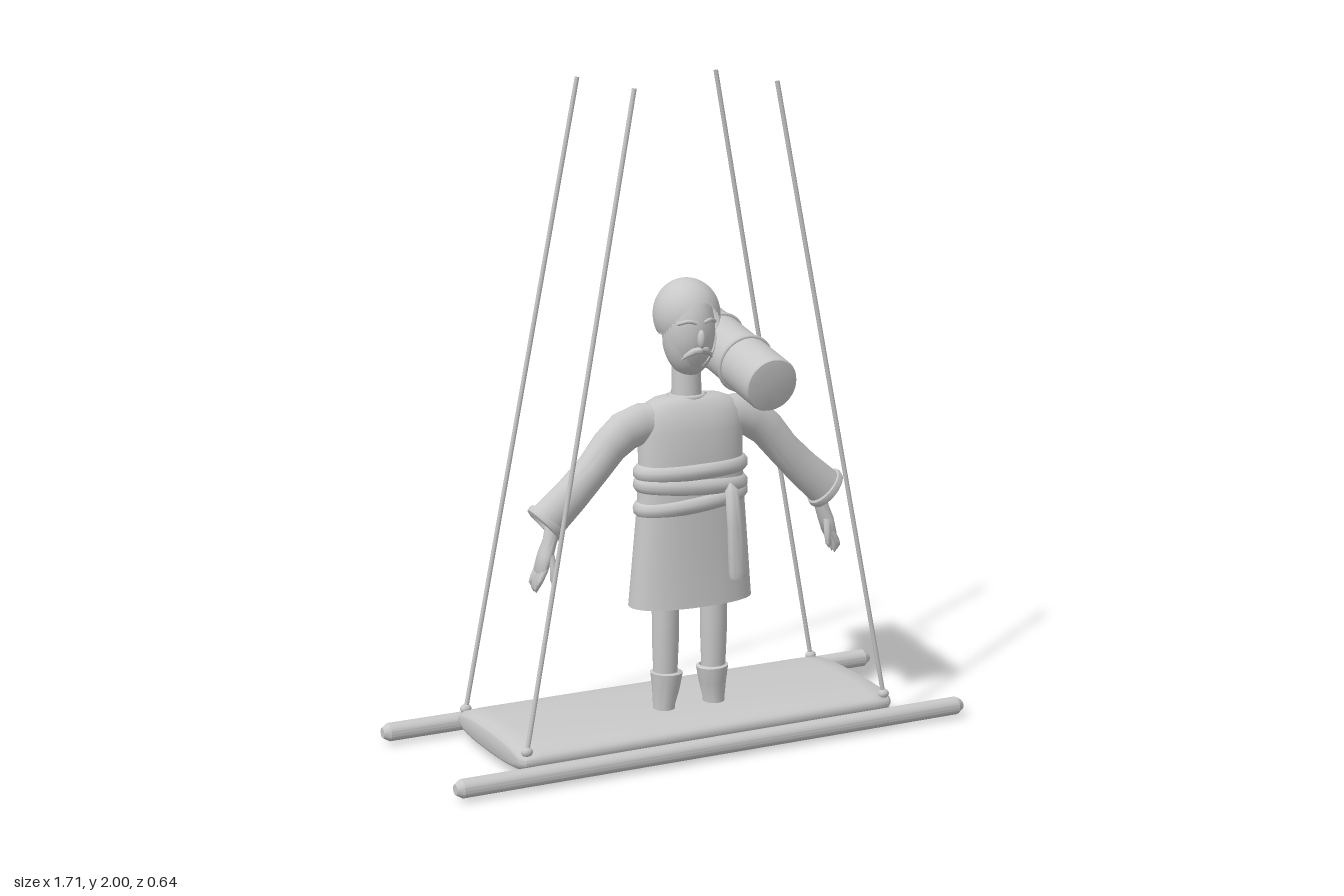
import * as THREE from 'three';
import { toCreasedNormals } from 'three/addons/utils/BufferGeometryUtils.js';

const stone = new THREE.MeshStandardMaterial({ color: 0xc8c8c8, side: THREE.DoubleSide });
stone.name = 'plain grey';

const V = (x, y, z) => new THREE.Vector3(x, y, z);

// Skin over oval rings that follow a path in x and y.
// Station: [x, y, z, half width across the path, half depth in z]
function loft(stations, power = 2, sides = 32) {
  const pos = [], index = [];
  const bend = (v) => Math.sign(v) * Math.pow(Math.abs(v), 2 / power);
  stations.forEach(([x, y, z, a, b], i) => {
    const p = stations[Math.max(i - 1, 0)], q = stations[Math.min(i + 1, stations.length - 1)];
    const t = new THREE.Vector2(q[0] - p[0], q[1] - p[1]).normalize();
    for (let j = 0; j < sides; j++) {
      const u = (j / sides) * Math.PI * 2, c = bend(Math.cos(u)) * a;
      pos.push(x + t.y * c, y - t.x * c, z + bend(Math.sin(u)) * b);
      if (i === stations.length - 1) continue;
      const k = i * sides + j, l = i * sides + ((j + 1) % sides);
      index.push(k, k + sides, l, l, k + sides, l + sides);
    }
  });
  const g = new THREE.BufferGeometry();
  g.setAttribute('position', new THREE.Float32BufferAttribute(pos, 3));
  g.setIndex(index);
  return toCreasedNormals(g, 0.8);
}

// Part of an ellipsoid; range(front) gives the polar angles, front is 1 ahead and -1 behind
function shell(rx, ry, rz, range) {
  const g = new THREE.SphereGeometry(1, 48, 20);
  const p = g.attributes.position, uv = g.attributes.uv;
  for (let i = 0; i < p.count; i++) {
    const phi = Math.round(uv.getX(i) * 48 * 2) / 96 * Math.PI * 2;
    const [from, to] = range(Math.sin(phi));
    const th = from + (to - from) * (1 - uv.getY(i));
    p.setXYZ(i, -Math.cos(phi) * Math.sin(th) * rx, Math.cos(th) * ry, Math.sin(phi) * Math.sin(th) * rz);
  }
  g.computeVertexNormals();
  return g;
}

const tube = (points, r, closed = false, seg = 24) =>
  new THREE.TubeGeometry(new THREE.CatmullRomCurve3(points, closed), seg, r, 10, closed);

export function createModel() {
  const model = new THREE.Group();
  model.name = 'figureOnSwing';
  const add = (name, geometry, x = 0, y = 0, z = 0) => {
    const m = new THREE.Mesh(geometry, stone);
    m.name = name;
    m.position.set(x, y, z);
    model.add(m);
    return m;
  };
  const ball = (name, x, y, z, rx, ry, rz) =>
    add(name, new THREE.SphereGeometry(1, 20, 14), x, y, z).scale.set(rx, ry, rz);

  // Swing deck, a softly domed slab
  const end = [[0.633, 0, 0], [0.633, 0.026, 0.2], [0.63, 0.033, 0.228], [0.615, 0.043, 0.245], [0.56, 0.047, 0.248]];
  const deck = [...end.map(([x, a, b]) => [-x, 0.063, -0.012, a, b]),
    ...end.slice().reverse().map(([x, a, b]) => [x, 0.063, -0.012, a, b])];
  add('deck', loft(deck, 2.6, 48));

  // Side poles with chamfered ends
  const poleProfile = [[0, -0.855], [0.016, -0.855], [0.028, -0.835], [0.028, 0.835], [0.016, 0.855], [0, 0.855]]
    .map(([x, y]) => new THREE.Vector2(x, y));
  for (const z of [0.268, -0.298]) {
    const pole = add('pole', toCreasedNormals(new THREE.LatheGeometry(poleProfile, 20), 0.5), 0, 0.035, z);
    pole.rotation.z = Math.PI / 2;
  }

  // Ropes and knots
  for (const s of [1, -1]) for (const [z0, z1] of [[0.213, 0.178], [-0.24, -0.203]]) {
    add('rope', tube([V(s * 0.605, 0.09, z0), V(s * 0.232, 2, z1)], 0.007, false, 1));
    ball('knot', s * 0.605, 0.092, z0, 0.018, 0.015, 0.015);
  }

  // Robe: open skirt, torso and rounded shoulders
  add('robe', loft([
    [0, 0.44, 0.077, 0.2, 0.093], [0, 0.452, 0.077, 0.199, 0.092], [0, 0.6, 0.08, 0.187, 0.084],
    [0, 0.74, 0.082, 0.175, 0.078], [0, 0.88, 0.08, 0.168, 0.078], [0, 0.97, 0.076, 0.17, 0.076],
    [0, 1.02, 0.072, 0.168, 0.068], [0, 1.05, 0.066, 0.15, 0.056], [0, 1.066, 0.06, 0.11, 0.05],
    [0, 1.07, 0.055, 0.06, 0.045],
  ], 2.3, 48));
  add('collar', new THREE.TorusGeometry(0.05, 0.008, 8, 28), 0, 1.066, 0.055).rotation.x = Math.PI / 2;

  // Sash wound round the waist, with a hanging end
  [[0.755, 0.1], [0.805, -0.06], [0.853, 0.02]].forEach(([y, tilt]) => {
    const ring = [];
    for (let i = 0; i < 20; i++) {
      const u = (i / 20) * Math.PI * 2, x = Math.cos(u) * 0.161;
      ring.push(V(x, y + x * tilt, 0.081 + Math.sin(u) * 0.068));
    }
    add('sashRoll', tube(ring, 0.027, true, 64));
  });
  add('sashEnd', loft([
    [0.112, 0.515, 0.176, 0.001, 0.001], [0.112, 0.518, 0.176, 0.026, 0.017], [0.11, 0.54, 0.176, 0.029, 0.02],
    [0.1, 0.68, 0.176, 0.024, 0.018], [0.091, 0.79, 0.17, 0.02, 0.017], [0.089, 0.812, 0.165, 0.001, 0.001],
  ], 2.4, 20));

  for (const s of [1, -1]) {
    const path = (list) => list.map(([x, ...rest]) => [s * x, ...rest]);

    // Sleeve and cuff
    add('sleeve', loft(path([
      [0.09, 0.995, 0.07, 0.06, 0.045], [0.16, 0.998, 0.07, 0.062, 0.05], [0.215, 0.98, 0.07, 0.061, 0.05],
      [0.265, 0.94, 0.07, 0.056, 0.048], [0.32, 0.875, 0.07, 0.052, 0.047], [0.39, 0.805, 0.07, 0.055, 0.046],
      [0.475, 0.73, 0.07, 0.06, 0.05],
    ])));
    add('cuff', loft(path([
      [0.462, 0.741, 0.07, 0.056, 0.048], [0.464, 0.739, 0.07, 0.066, 0.055], [0.472, 0.732, 0.07, 0.069, 0.057],
      [0.48, 0.725, 0.07, 0.066, 0.055], [0.481, 0.724, 0.07, 0.054, 0.046],
    ])));

    // Hand: forearm and palm, then fingers and thumb
    add('hand', loft(path([
      [0.4, 0.795, 0.07, 0.035, 0.032], [0.445, 0.73, 0.07, 0.027, 0.026], [0.46, 0.675, 0.07, 0.021, 0.024],
      [0.475, 0.635, 0.07, 0.021, 0.034], [0.49, 0.59, 0.067, 0.017, 0.034], [0.497, 0.572, 0.066, 0.001, 0.02],
    ]), 2, 20));
    [[0.092, 0.54], [0.075, 0.524], [0.058, 0.524], [0.041, 0.537]].forEach(([z, y]) => {
      add('finger', loft(path([
        [0.484, 0.6, z, 0.01, 0.01], [0.502, 0.565, z, 0.0095, 0.0095],
        [0.507, y + 0.012, z - 0.002, 0.008, 0.008], [0.506, y, z - 0.003, 0.001, 0.001],
      ]), 2, 10));
    });
    add('thumb', loft(path([
      [0.468, 0.64, 0.09, 0.012, 0.012], [0.463, 0.6, 0.102, 0.011, 0.011],
      [0.466, 0.563, 0.104, 0.009, 0.009], [0.468, 0.55, 0.104, 0.001, 0.001],
    ]), 2, 10));

    // Leg, boot and the foot set into the deck
    add('leg', loft(path([
      [0.082, 0.19, 0.073, 0.036, 0.034], [0.082, 0.32, 0.074, 0.041, 0.039], [0.082, 0.5, 0.075, 0.042, 0.042],
    ]), 2, 24));
    add('boot', loft(path([
      [0.085, 0.06, 0.07, 0.034, 0.034], [0.085, 0.12, 0.07, 0.034, 0.033], [0.08, 0.17, 0.072, 0.042, 0.041],
      [0.078, 0.222, 0.073, 0.05, 0.048], [0.078, 0.226, 0.073, 0.04, 0.038],
    ]), 2, 24));
    ball('foot', s * 0.097, 0.027, 0.16, 0.047, 0.027, 0.095);
  }

  // Neck and head
  add('neck', new THREE.CylinderGeometry(0.042, 0.046, 0.2, 24), 0, 1.13, 0.052);
  ball('head', 0, 1.27, 0.065, 0.08, 0.13, 0.082);
  ball('nose', 0, 1.25, 0.148, 0.012, 0.028, 0.014);
  for (const s of [1, -1]) {
    add('brow', tube([V(s * 0.012, 1.298, 0.141), V(s * 0.035, 1.304, 0.136), V(s * 0.062, 1.295, 0.115)], 0.006));
    add('moustache', loft([[0, 1.218, 0.146, 0.01, 0.011], [s * 0.02, 1.214, 0.141, 0.011, 0.011],
      [s * 0.04, 1.2, 0.128, 0.007, 0.009], [s * 0.052, 1.186, 0.117, 0.001, 0.001]], 2, 12));
  }

  // Hair cap, arched over the forehead, and beard along the jaw
  add('hair', shell(0.1, 0.108, 0.104, (f) => [0, 2.15 - 1.0 * Math.pow(Math.max(f, 0), 2)]), 0, 1.312, 0.053);
  add('beard', shell(0.083, 0.137, 0.083,
    (f) => [1.55 + 0.85 * Math.pow(Math.max(f, 0), 2) + 0.8 * Math.max(-f, 0), Math.PI]), 0, 1.265, 0.07);

  // Bedroll resting on the left shoulder, tied with two cords
  const roll = new THREE.Group();
  roll.name = 'bedroll';
  roll.position.set(0.155, 1.182, 0.042);
  roll.rotation.x = -1.354;
  const rollProfile = [[0, -0.27], [0.06, -0.268], [0.08, -0.264], [0.084, -0.256],
    [0.084, 0.256], [0.08, 0.264], [0.06, 0.268], [0, 0.27]].map(([x, y]) => new THREE.Vector2(x, y));
  const bundle = new THREE.Mesh(toCreasedNormals(new THREE.LatheGeometry(rollProfile, 40), 0.6), stone);
  bundle.name = 'bundle';
  roll.add(bundle);
  for (const y of [-0.094, 0.088]) {
    const cord = new THREE.Mesh(new THREE.TorusGeometry(0.085, 0.007, 8, 40), stone);
    cord.name = 'cord';
    cord.position.y = y;
    cord.rotation.x = Math.PI / 2;
    roll.add(cord);
  }
  model.add(roll);
  return model;
}
